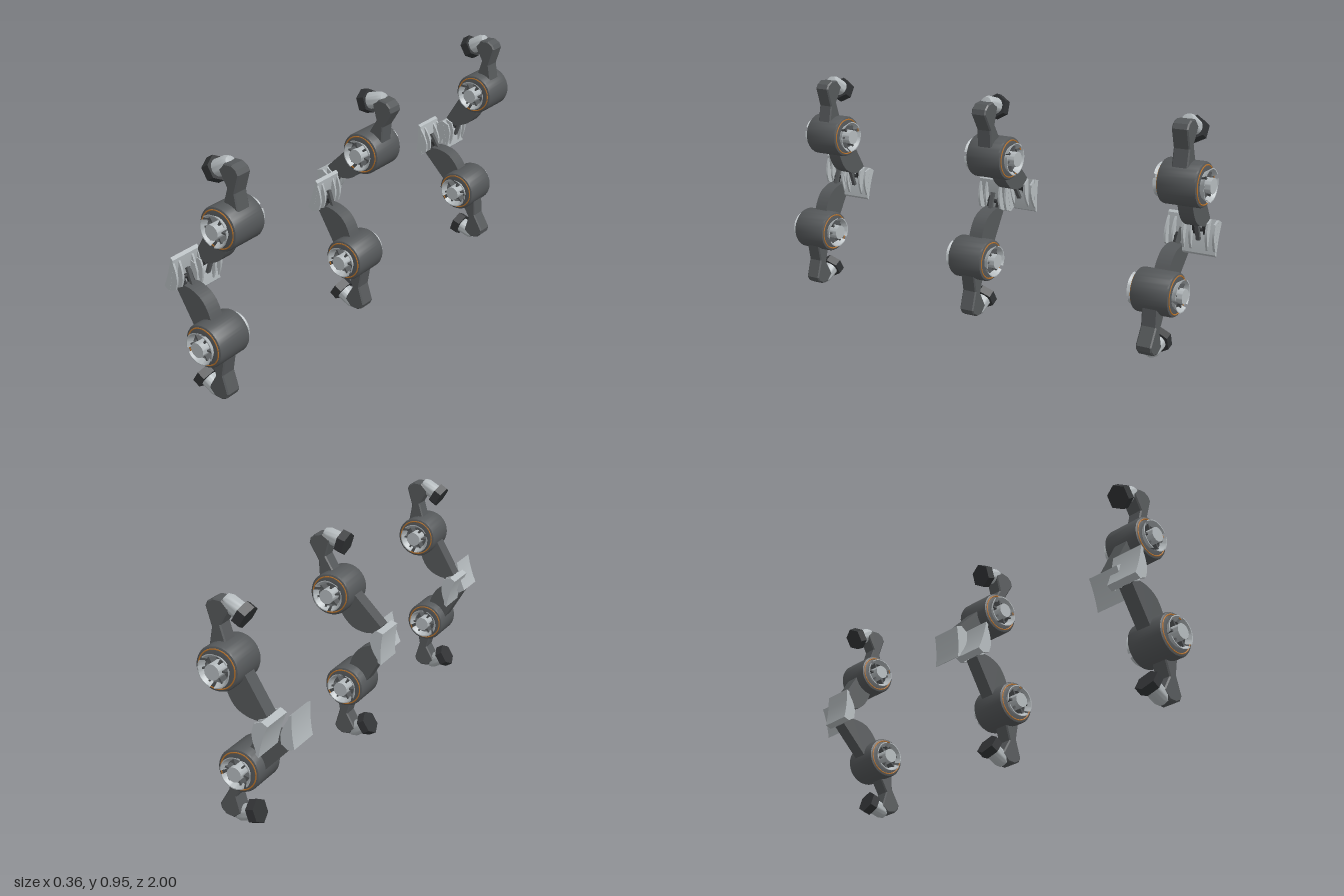
import * as THREE from 'three';
import { toCreasedNormals } from 'three/addons/utils/BufferGeometryUtils.js';

const paint = (color, side = THREE.FrontSide) => new THREE.MeshStandardMaterial({ color, side });
const DARK = paint(0x55585a);
const BLACK = paint(0x323436);
const LIGHT = paint(0xb4babd);
const LIGHT_SHELL = paint(0xb4babd, THREE.DoubleSide);
const COPPER = paint(0xb8742e);

const v2 = (pairs) => pairs.map(([x, y]) => new THREE.Vector2(x, y));

function add(parent, name, geometry, material, crease = 0.6) {
  const mesh = new THREE.Mesh(toCreasedNormals(geometry, crease), material);
  mesh.name = name;
  parent.add(mesh);
  return mesh;
}

// Side profile extruded along z, centred on z = 0
function slab(shape, width, bevel = 0) {
  const geometry = new THREE.ExtrudeGeometry(shape, {
    depth: width - 2 * bevel, curveSegments: 10, bevelEnabled: bevel > 0,
    bevelThickness: bevel, bevelSize: bevel, bevelOffset: -bevel, bevelSegments: 1,
  });
  return geometry.translate(0, 0, -width / 2 + bevel);
}

// Lathe turned about the z axis
const turned = (profile, segments = 48, start = 0, length = Math.PI * 2) =>
  new THREE.LatheGeometry(v2(profile), segments, start, length).rotateX(Math.PI / 2);

// Motor drum with a recessed, finned hub at both ends
function makeDrum() {
  const drum = new THREE.Group();
  drum.name = 'motorDrum';
  const half = [[0, 0.056], [0.05, 0.056], [0.05, 0.08], [0.077, 0.08], [0.084, 0.077], [0.087, 0.07]];
  const lower = half.map(([r, z]) => [r, -z]);
  add(drum, 'drumBody', turned([...lower, ...half.slice().reverse()]), DARK);

  for (const end of [0, Math.PI]) {
    const cap = new THREE.Group();
    cap.name = 'drumEnd';
    cap.rotation.y = end;
    const hub = new THREE.CylinderGeometry(0.03, 0.03, 0.058, 28).rotateX(Math.PI / 2).translate(0, 0, 0.083);
    add(cap, 'hub', hub, LIGHT);
    add(cap, 'copperRing', new THREE.TorusGeometry(0.0745, 0.0028, 6, 48).translate(0, 0, 0.08), COPPER, 1.2);
    // flared collar split into three arcs
    for (let i = 0; i < 3; i++) {
      const collar = turned([[0.05, 0.058], [0.052, 0.08], [0.065, 0.102], [0.061, 0.102], [0.048, 0.08]],
        14, i * Math.PI * 2 / 3, Math.PI * 0.58);
      add(cap, 'collar', collar, LIGHT_SHELL);
    }
    for (let i = 0; i < 6; i++) {
      const fin = new THREE.BoxGeometry(0.026, 0.007, 0.036).translate(0.039, 0, 0.073).rotateZ(i * Math.PI / 3);
      add(cap, 'hubFin', fin, DARK);
    }
    drum.add(cap);
  }
  return drum;
}

// Mounting bracket with the angled stub and its hexagonal cap
function makeBracket() {
  const bracket = new THREE.Group();
  bracket.name = 'mountBracket';
  const outline = new THREE.Shape(v2([[0.06, 0.05], [0.045, 0.133], [0.068, 0.209], [0.058, 0.228], [0.035, 0.241],
    [0, 0.239], [-0.028, 0.209], [0.008, 0.146], [-0.018, 0.06]]));
  add(bracket, 'bracketBody', slab(outline, 0.066, 0.005), DARK, 0.3);

  const mount = new THREE.Group();
  mount.name = 'mountStub';
  mount.position.set(-0.071, 0.188, 0);
  mount.rotation.z = -Math.PI / 2 + 0.55;
  add(mount, 'hexCap', new THREE.CylinderGeometry(0.05, 0.05, 0.035, 6).rotateY(Math.PI / 6), BLACK, 0.3);
  add(mount, 'stub', new THREE.LatheGeometry(v2([[0, 0.01], [0.034, 0.01], [0.032, 0.07], [0.024, 0.088], [0, 0.092]]), 28), LIGHT);
  bracket.add(mount);
  return bracket;
}

// Link from the drum to the pad: straight outer edge, bowed inner edge
function makeLink() {
  const link = new THREE.Group();
  link.name = 'armLink';
  const s = new THREE.Shape();
  s.moveTo(-0.08, -0.02);
  s.lineTo(-0.168, -0.168);
  s.lineTo(-0.133, -0.191);
  s.splineThru(v2([[-0.09, -0.184], [-0.045, -0.16], [-0.015, -0.118], [0.005, -0.06]]));
  s.lineTo(0, 0);
  add(link, 'linkBody', slab(s, 0.062), DARK);

  // hinge lugs and pin holding the pad
  for (const z of [-0.021, 0.021]) {
    const lug = new THREE.BoxGeometry(0.03, 0.06, 0.012).rotateZ(-0.4).translate(-0.148, -0.198, z);
    add(link, 'hingeLug', lug, BLACK);
  }
  const pin = new THREE.CylinderGeometry(0.008, 0.008, 0.07, 12).rotateX(Math.PI / 2).translate(-0.147, -0.212, 0);
  add(link, 'hingePin', pin, BLACK);
  const strut = new THREE.BoxGeometry(0.012, 0.075, 0.016).rotateZ(-0.33).translate(-0.124, -0.215, 0);
  add(link, 'strut', strut, DARK);
  return link;
}

// Curved contact pad: outer plate backed by crescent ribs
function makePad() {
  const pad = new THREE.Group();
  pad.name = 'contactPad';
  const plate = new THREE.Shape();
  plate.moveTo(-0.191, -0.186);
  plate.quadraticCurveTo(-0.163, -0.245, -0.151, -0.314);
  plate.lineTo(-0.14, -0.304);
  plate.quadraticCurveTo(-0.146, -0.235, -0.166, -0.171);
  plate.closePath();
  add(pad, 'padPlate', slab(plate, 0.138), LIGHT);

  const rib = new THREE.Shape();
  rib.moveTo(-0.188, -0.186);
  rib.quadraticCurveTo(-0.161, -0.245, -0.15, -0.31);
  rib.quadraticCurveTo(-0.122, -0.255, -0.126, -0.215);
  rib.lineTo(-0.135, -0.184);
  rib.lineTo(-0.166, -0.172);
  rib.closePath();
  for (const z of [-0.064, -0.034, 0.034, 0.064]) {
    add(pad, 'padRib', slab(rib, 0.009).translate(0, 0, z), LIGHT);
  }
  return pad;
}

function makeArm(name, swing) {
  const arm = new THREE.Group();
  arm.name = name;
  const swinging = new THREE.Group();
  swinging.name = 'swingingParts';
  swinging.rotation.z = -swing;
  swinging.add(makeDrum(), makeBracket(), makeLink(), makePad());
  arm.add(swinging);
  return arm;
}

export function createModel() {
  const model = new THREE.Group();
  model.name = 'armSet';
  const SWING = 0.245;
  // z of the upper and lower arm in each pair, and how far each is swung out
  const pairs = [
    { upperZ: 0.793, lowerZ: 0.888, upper: 0, lower: 0 },
    { upperZ: -0.046, lowerZ: 0.054, upper: SWING, lower: 0 },
    { upperZ: -0.886, lowerZ: -0.786, upper: 0, lower: SWING },
  ];
  for (const p of pairs) {
    const upper = makeArm('upperArm', p.upper);
    upper.position.set(0.063, 0.697, p.upperZ);
    const lower = makeArm('lowerArm', p.lower);
    lower.position.set(0.054, 0.255, p.lowerZ);
    lower.rotation.x = Math.PI;
    model.add(upper, lower);
  }
  return model;
}
